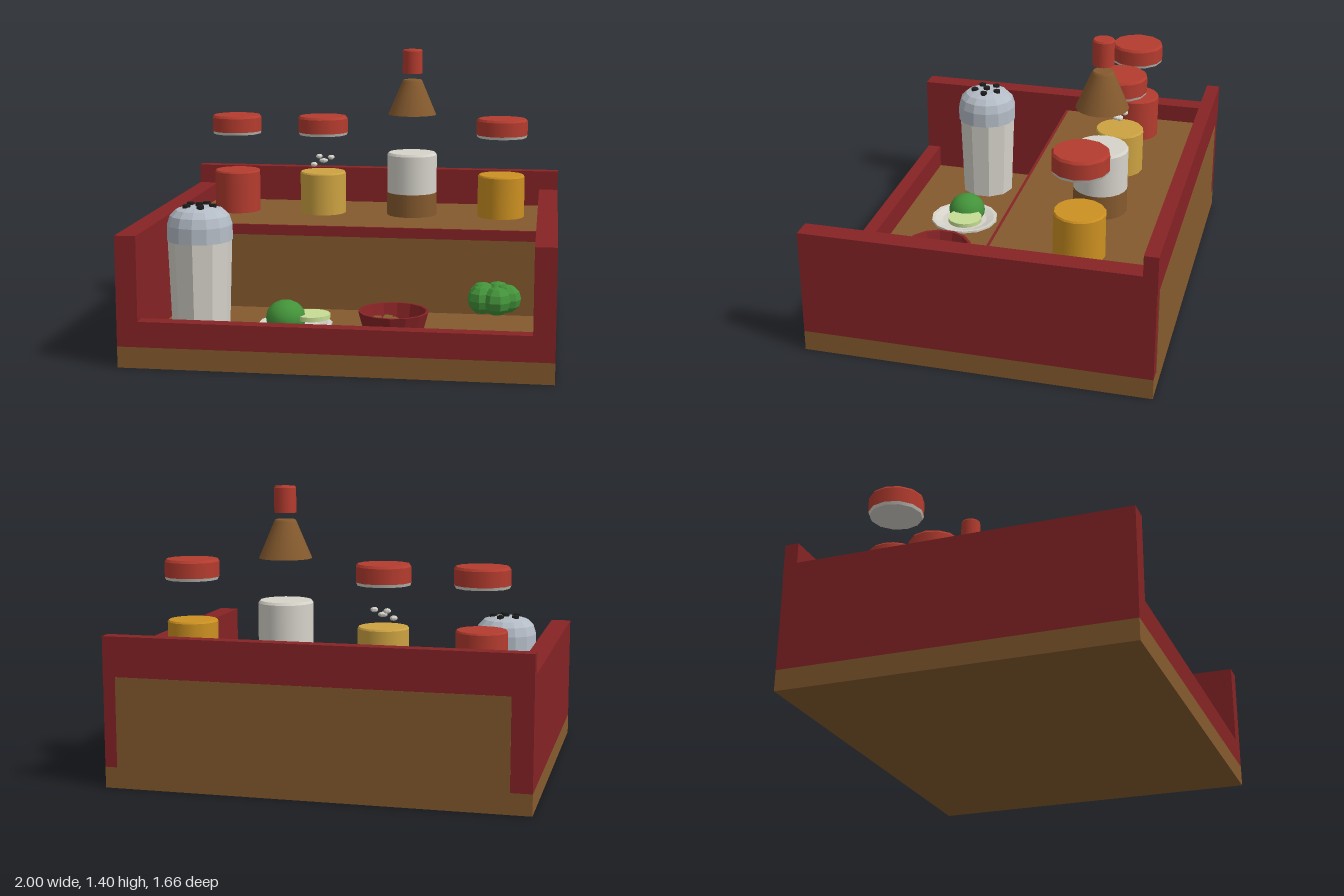
import * as THREE from 'three';

const mat = (name, color) => {
  const m = new THREE.MeshStandardMaterial({ color });
  m.name = name;
  return m;
};

export function createModel() {
  const model = new THREE.Group();
  const wine = mat('dark red wood', 0x862325);
  const red = mat('lid red', 0xb53c2f);
  const brown = mat('brown wood', 0x855a2e);
  const white = mat('off white', 0xd6d3ca);
  const metal = mat('steel grey', 0xb4bcc6);
  const green = mat('green', 0x43933a);
  const pale = mat('pale green', 0xc6dd94);
  const tan = mat('tan yellow', 0xcda342);
  const amber = mat('amber', 0xcd9121);
  const black = mat('black', 0x1e1e1e);

  const add = (name, geometry, material, x = 0, y = 0, z = 0, parent = model) => {
    const m = new THREE.Mesh(geometry, material);
    m.name = name;
    m.position.set(x, y, z);
    parent.add(m);
    return m;
  };
  // Box from its min and max corners
  const box = (name, material, x0, x1, y0, y1, z0, z1) =>
    add(name, new THREE.BoxGeometry(x1 - x0, y1 - y0, z1 - z0), material,
      (x0 + x1) / 2, (y0 + y1) / 2, (z0 + z1) / 2);
  const flat = (g) => {
    const f = g.index ? g.toNonIndexed() : g;
    f.computeVertexNormals();
    return f;
  };
  // Faceted turned shape; profile runs from the bottom up
  const lathe = (profile, sides) =>
    flat(new THREE.LatheGeometry(profile.map(([r, y]) => new THREE.Vector2(r, y)), sides));
  // Solid cylinder with small chamfers and smooth walls
  const drum = (name, material, r0, r1, y0, y1, x, z, sides, bevel = 0.012) => {
    const g = new THREE.Group();
    g.name = name;
    g.position.set(x, 0, z);
    const h = y1 - y0 - bevel;
    add('wall', new THREE.CylinderGeometry(r1, r0, h, sides), material, 0, y0 + h / 2, 0, g);
    add('top edge', new THREE.CylinderGeometry(r1 - bevel * 0.7, r1, bevel, sides), material,
      0, y1 - bevel / 2, 0, g);
    model.add(g);
    return g;
  };

  // Tray and raised rear shelf
  box('base', brown, -1, 1, 0, 0.1, -0.83, 0.83);
  for (const s of [-1, 1]) {
    box('sideWall', wine, s < 0 ? -1 : 0.9, s < 0 ? -0.9 : 1, 0.1, 0.62, -0.83, 0.83);
  }
  box('frontWall', wine, -0.9, 0.9, 0.1, 0.22, 0.76, 0.83);
  box('rearShelf', brown, -0.9, 0.9, 0.1, 0.53, -0.83, 0);
  box('backPanel', brown, -0.9, 0.94, 0.1, 0.53, -0.833, -0.829);
  box('backWall', wine, -1, 1, 0.53, 0.72, -0.832, -0.765);
  box('shelfTrim', wine, -0.9, 0.9, 0.48, 0.532, -0.005, 0.008);

  const xs = [-0.705, -0.24, 0.235, 0.705];
  const zBack = -0.42, zFront = 0.415;

  // Rear jars with lids held above them
  [red, tan, null, amber].forEach((m, i) => {
    if (!m) return;
    drum('jar', m, 0.122, 0.122, 0.53, 0.75, xs[i], zBack, 16, 0.008);
    drum('lid', red, 0.133, 0.133, 0.96, 1.045, xs[i], zBack, 12);
    add('lidLining', new THREE.CylinderGeometry(0.133, 0.127, 0.014, 12), white, xs[i], 0.953, zBack);
  });

  // Bottle with separated cone and cap
  drum('bottleFilling', brown, 0.131, 0.131, 0.53, 0.65, xs[2], zBack, 20, 0.001);
  drum('bottleGlass', white, 0.131, 0.131, 0.65, 0.86, xs[2], zBack, 20);
  drum('bottleCone', brown, 0.126, 0.052, 1.06, 1.243, xs[2], zBack, 20, 0.008);
  drum('bottleCap', red, 0.052, 0.052, 1.275, 1.4, xs[2], zBack, 14, 0.008);

  // Grains above the second jar
  [[-0.285, 0.787, -0.4], [-0.263, 0.826, -0.44], [-0.237, 0.806, -0.42], [-0.194, 0.826, -0.41]]
    .forEach(([x, y, z], i) => {
      const g = add('grain', flat(new THREE.SphereGeometry(0.02, 7, 5)), white, x, y, z);
      g.scale.set(i === 2 ? 1.2 : 0.95, 0.65, 0.9);
    });

  // Shaker: tapered body, domed top and holes
  add('shakerBody', flat(new THREE.CylinderGeometry(0.155, 0.14, 0.43, 10)), white, xs[0], 0.315, zFront);
  add('shakerDome', lathe([[0, 0.53], [0.158, 0.53], [0.157, 0.605], [0.143, 0.65], [0.115, 0.678],
    [0.07, 0.692], [0, 0.695]], 14), metal, xs[0], 0, zFront);
  const hole = new THREE.CylinderGeometry(0.019, 0.019, 0.03, 6);
  add('shakerHole', hole, black, xs[0], 0.694, zFront);
  for (let i = 0; i < 5; i++) {
    const a = i * Math.PI * 2 / 5;
    add('shakerHole', hole, black, xs[0] + 0.066 * Math.cos(a), 0.689, zFront + 0.066 * Math.sin(a));
  }

  // Plate with a lime and a slice
  add('plate', lathe([[0, 0.101], [0.12, 0.101], [0.177, 0.125], [0.177, 0.136], [0.16, 0.135],
    [0.12, 0.122], [0, 0.122]], 14), white, xs[1], 0, zFront);
  add('lime', new THREE.SphereGeometry(0.097, 14, 10), green, -0.288, 0.157, zFront).scale.y = 0.9;
  add('limeSlice', new THREE.CylinderGeometry(0.09, 0.09, 0.022, 14), pale, -0.165, 0.165, 0.39);

  // Bowl with small cubes
  add('bowl', lathe([[0, 0.101], [0.14, 0.101], [0.17, 0.21], [0.155, 0.21], [0.132, 0.13],
    [0, 0.13]], 14), wine, xs[2], 0, zFront);
  [[-0.085, -0.05], [-0.035, -0.05], [0.005, 0.002], [-0.05, 0.045], [0.0, 0.045], [0.08, 0.022],
    [0.045, 0.085], [-0.005, 0.085], [0.035, 0.035]].forEach(([x, z], i) => {
    const c = add('cube', new THREE.BoxGeometry(0.04, 0.036, 0.04), brown,
      xs[2] + x, 0.146 + (i % 3) * 0.004, zFront + z);
    c.rotation.set(0.1 * (i % 2), i * 1.3, 0.08 * (i % 3));
  });

  // Cluster of five green lobes
  const lobe = flat(new THREE.SphereGeometry(0.069, 8, 6));
  for (let i = 0; i < 5; i++) {
    const a = i * Math.PI * 2 / 5;
    const m = add('greenLobe', lobe, green, xs[3] + 0.063 * Math.cos(a), 0.286, zFront + 0.063 * Math.sin(a));
    m.rotation.y = -a;
  }

  return model;
}
